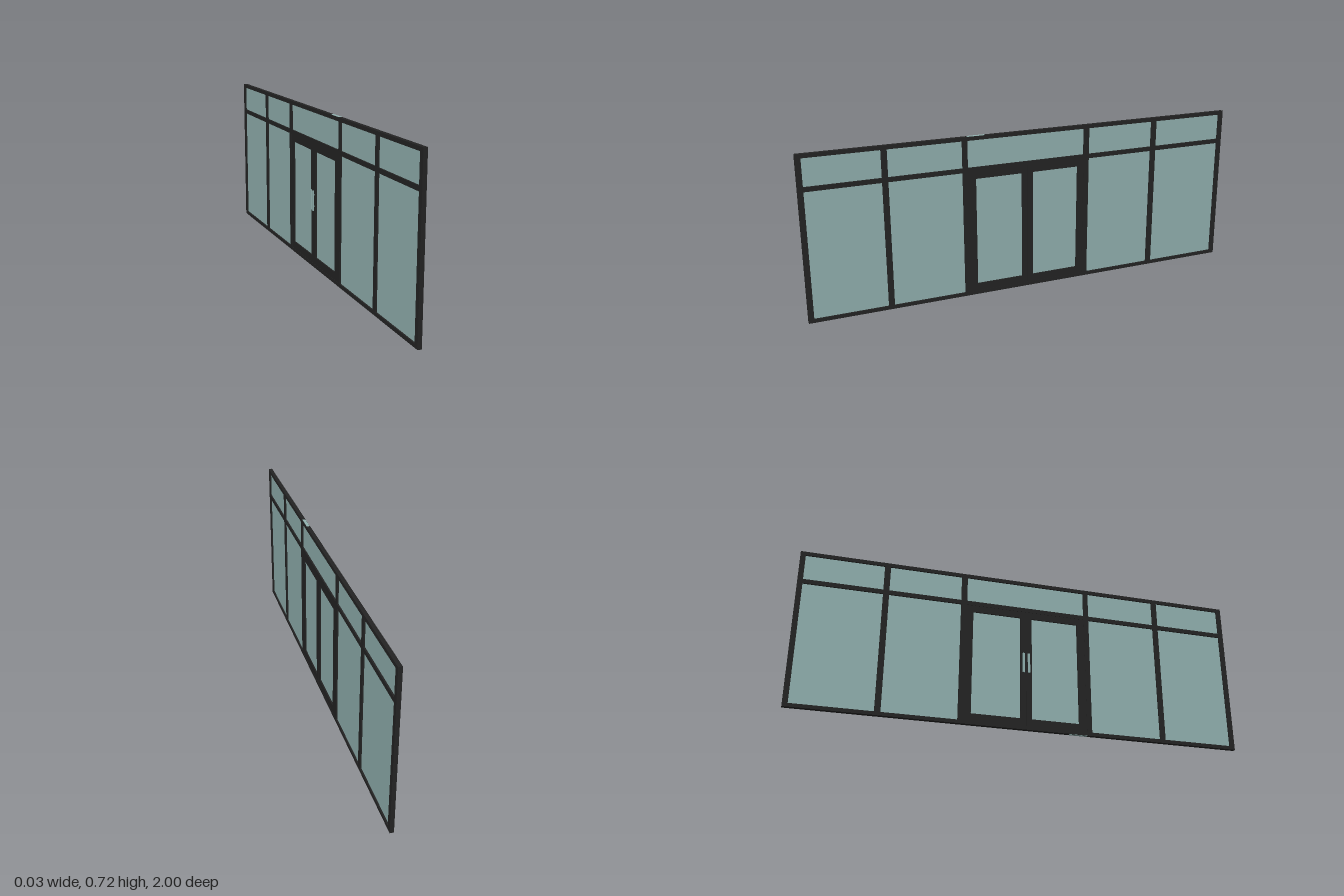
import * as THREE from 'three';

export function createModel() {
  const root = new THREE.Group();
  root.name = 'storefront';
  const frame = new THREE.MeshStandardMaterial({ color: 0x242424 });
  frame.name = 'dark metal';
  const glass = new THREE.MeshStandardMaterial({ color: 0x93b3b1 });
  glass.name = 'pale glass';

  const H = 0.72, D = 0.017;
  // Box given by its z and y extents, with depth d centred on x
  function slab(name, mat, z0, z1, y0, y1, d = D, x = 0, parent = root) {
    const m = new THREE.Mesh(new THREE.BoxGeometry(d, y1 - y0, z1 - z0), mat);
    m.position.set(x, (y0 + y1) / 2, (z0 + z1) / 2);
    m.name = name;
    parent.add(m);
  }

  // Vertical posts: two ends and four mullions
  const posts = [[-1, -0.977], [-0.634, -0.608], [-0.286, -0.26],
    [0.29, 0.313], [0.635, 0.66], [0.977, 1]];
  for (const [a, b] of posts) slab('post', frame, a, b, 0, H);

  // Rails and glass between neighbouring posts
  const yBottom = 0.016, yRail0 = 0.565, yRail1 = 0.585, yTop = 0.703;
  for (let i = 0; i < posts.length - 1; i++) {
    const a = posts[i][1], b = posts[i + 1][0];
    slab('topRail', frame, a, b, yTop, H);
    slab('transomRail', frame, a, b, yRail0, yRail1);
    slab('bottomRail', frame, a, b, 0, yBottom);
    slab('transomGlass', glass, a, b, yRail1, yTop, 0.004);
    if (i !== 2) slab('sideGlass', glass, a, b, yBottom, yRail0, 0.004);
  }

  // Pair of doors, each with stiles, rails, a pane and a pull handle
  const mid = 0.0135;
  const doors = [[-0.26, -0.23, -0.013, mid - 0.0005, 0.002], [mid + 0.0005, 0.04, 0.254, 0.29, 0.025]];
  for (const [a, g0, g1, b, hz] of doors) {
    const door = new THREE.Group();
    door.name = 'door';
    root.add(door);
    const d = 0.015;
    slab('doorStile', frame, a, g0, yBottom, yRail0, d, 0, door);
    slab('doorStile', frame, g1, b, yBottom, yRail0, d, 0, door);
    slab('doorTopRail', frame, g0, g1, 0.533, yRail0, d, 0, door);
    slab('doorBottomRail', frame, g0, g1, yBottom, 0.05, d, 0, door);
    slab('doorGlass', glass, g0, g1, 0.05, 0.533, 0.004, 0, door);
    slab('handleBar', glass, hz - 0.005, hz + 0.005, 0.265, 0.357, 0.005, -0.014, door);
    for (const y of [0.285, 0.337])
      slab('handleMount', glass, hz - 0.003, hz + 0.003, y - 0.003, y + 0.003, 0.006, -0.0095, door);
  }

  // Small plates on the top and bottom edges
  slab('topPlate', glass, 0.21, 0.29, H, H + 0.001, 0.014);
  slab('bottomPlate', glass, 0.21, 0.29, -0.001, 0, 0.014);

  // The whole run stands very slightly askew
  root.rotation.y = 0.008;
  const group = new THREE.Group();
  group.name = 'model';
  group.add(root);
  return group;
}
